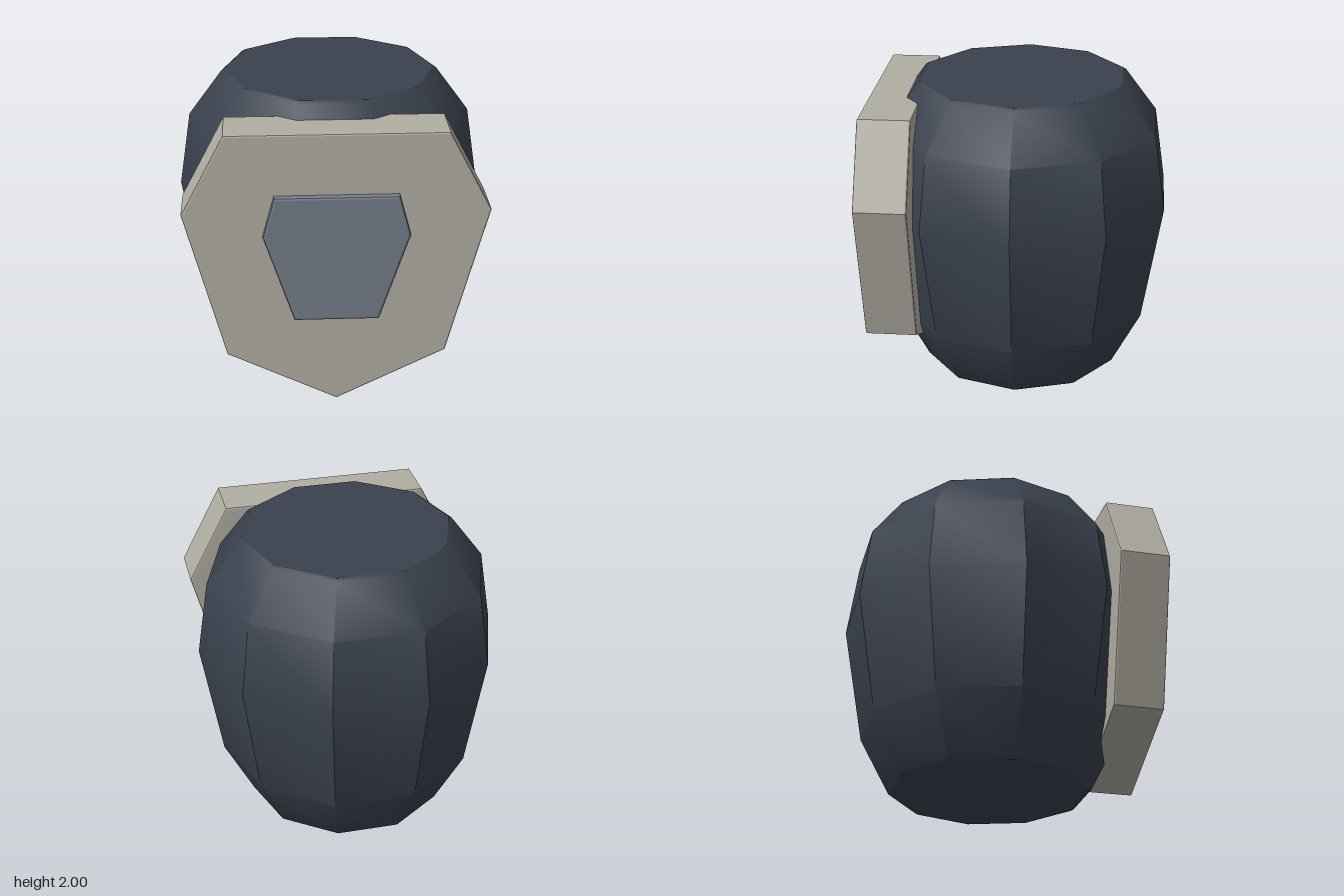
import * as THREE from 'three';
import { toCreasedNormals } from 'three/addons/utils/BufferGeometryUtils.js';

const SIDES = 10;
const BODY_Z = -0.035;

function material(name, color) {
  const m = new THREE.MeshStandardMaterial({ color });
  m.name = name;
  return m;
}

// Bevelled plate from the right half of a symmetric outline, listed top to bottom
function plate(name, half, back, front, bevel, mat) {
  const mirrored = half.filter(([x]) => x > 0).map(([x, y]) => [-x, y]).reverse();
  const shape = new THREE.Shape([...half, ...mirrored].map(([x, y]) => new THREE.Vector2(x, y)));
  const geometry = new THREE.ExtrudeGeometry(shape, {
    depth: front - back - 2 * bevel,
    bevelEnabled: true,
    bevelThickness: bevel,
    bevelSize: bevel,
    bevelOffset: -bevel,
    bevelSegments: 2,
  });
  geometry.translate(0, 0, back + bevel);
  const mesh = new THREE.Mesh(geometry, mat);
  mesh.name = name;
  return mesh;
}

export function createModel() {
  const model = new THREE.Group();
  model.name = 'facetedBarrelWithFrontPlate';

  const navy = material('dark slate', 0x3a414d);
  const stone = material('warm grey', 0xb0ada2);
  const steel = material('blue grey', 0x757d8a);

  // Ten-sided barrel body, creased at its upright edges
  const profile = [
    [0.645, 0], [0.667, 0.015], [0.865, 0.4], [1, 1.2],
    [0.925, 1.69], [0.707, 1.985], [0.685, 2],
  ].map(([r, y]) => new THREE.Vector2(r, y));
  const body = new THREE.Group();
  body.name = 'body';
  body.position.z = BODY_Z;
  const shell = new THREE.Mesh(
    toCreasedNormals(new THREE.LatheGeometry(profile, SIDES, Math.PI / 2), 0.6), navy);
  shell.name = 'bodyShell';
  body.add(shell);

  // Flat ends of the body
  for (const [name, point, turn] of [
    ['bodyTop', profile[profile.length - 1], -Math.PI / 2],
    ['bodyBottom', profile[0], Math.PI / 2],
  ]) {
    const cap = new THREE.Mesh(new THREE.CircleGeometry(point.x, SIDES), navy);
    cap.name = name;
    cap.rotation.x = turn;
    cap.position.y = point.y;
    body.add(cap);
  }
  model.add(body);

  // Thick shield plate and the raised panel on its face
  model.add(plate('frontPlate',
    [[0.685, 1.9], [0.955, 1.385], [0.695, 0.41], [0, 0.07]], 0.605, 0.945, 0.012, stone));
  model.add(plate('frontPanel',
    [[0.385, 1.505], [0.457, 1.24], [0.265, 0.665]], 0.9, 0.986, 0.016, steel));

  return model;
}
